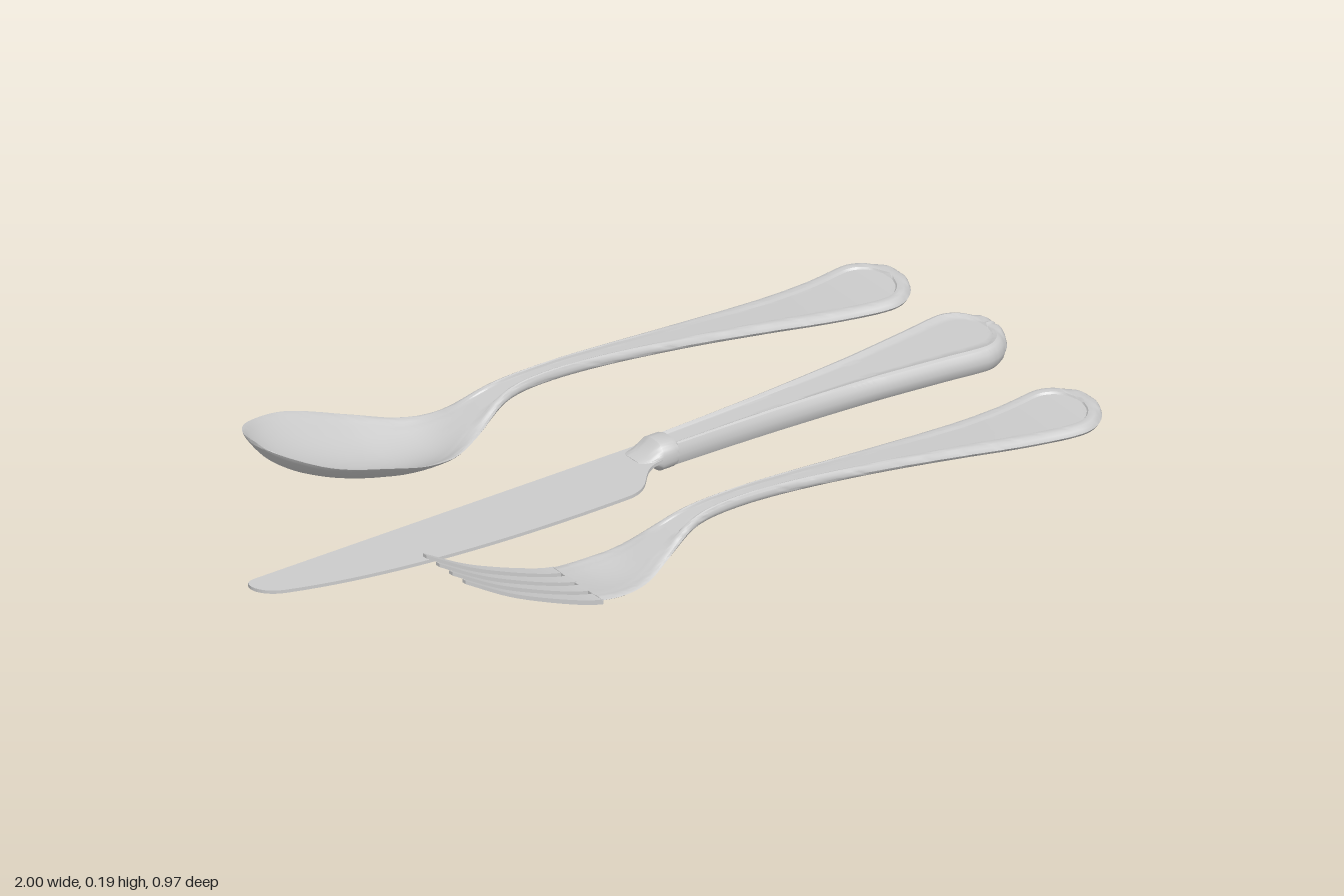
import * as THREE from 'three';
import { toCreasedNormals } from 'three/addons/utils/BufferGeometryUtils.js';

const material = new THREE.MeshStandardMaterial({ color: 0xcccccc });

// Smooth curve through [x, value] pairs
function curve(pts) {
  const slope = (i) => {
    const a = pts[Math.max(i - 1, 0)], b = pts[Math.min(i + 1, pts.length - 1)];
    return (b[1] - a[1]) / (b[0] - a[0]);
  };
  return (x) => {
    let i = 0;
    while (i < pts.length - 2 && x > pts[i + 1][0]) i++;
    const [x0, y0] = pts[i], [x1, y1] = pts[i + 1], h = x1 - x0;
    const t = Math.min(Math.max((x - x0) / h, 0), 1), t2 = t * t, t3 = t2 * t;
    return y0 * (2 * t3 - 3 * t2 + 1) + h * slope(i) * (t3 - 2 * t2 + t)
      + y1 * (3 * t2 - 2 * t3) + h * slope(i + 1) * (t3 - t2);
  };
}

// Elliptical rounding over the last r units before an end
function roundEnd(distance, r) {
  const u = Math.min(Math.max(1 - distance / r, 0), 1);
  return Math.sqrt(1 - u * u);
}

// Skin over a list of closed rings running along +x, capped at both ends
function loft(rings) {
  const n = rings[0].length, pos = [], index = [];
  rings.forEach((ring) => ring.forEach((p) => pos.push(...p)));
  for (let i = 0; i < rings.length - 1; i++) {
    for (let j = 0; j < n; j++) {
      const k = (j + 1) % n, a = i * n + j, b = i * n + k;
      index.push(a, a + n, b, b, a + n, b + n);
    }
  }
  [0, rings.length - 1].forEach((r, end) => {
    const c = pos.length / 3, o = r * n;
    pos.push(...[0, 1, 2].map((k) => rings[r].reduce((s, p) => s + p[k], 0) / n));
    for (let j = 0; j < n; j++) {
      const k = (j + 1) % n;
      index.push(c, o + (end ? k : j), o + (end ? j : k));
    }
  });
  const g = new THREE.BufferGeometry();
  g.setAttribute('position', new THREE.Float32BufferAttribute(pos, 3));
  g.setIndex(index);
  return toCreasedNormals(g, 0.6);
}

function part(parent, name, geometry) {
  const mesh = new THREE.Mesh(geometry, material);
  mesh.name = name;
  parent.add(mesh);
  return mesh;
}

// Beaded cross-section: fractions of the bead width and the height there
const BEAD = [[0.12, 0.9], [0.4, 1], [0.65, 0.9], [0.88, 0.55]];

// Body with a raised border round a sunken panel, ending in a round handle tip at x = 1
function beadedBody({ from, startRadius, width, base, rise, thick, recess, bothSides }) {
  const rings = [], N = 110;
  for (let i = 0; i <= N; i++) {
    const x = (from + 1) / 2 - (1 - from) / 2 * Math.cos(Math.PI * i / N);
    const startRound = startRadius ? Math.max(roundEnd(x - from, startRadius), 0.02) : 1;
    const w0 = width(x) * startRound;
    const w = w0 * Math.max(roundEnd(1 - x, 0.1), 0.02);
    const inner = (w0 - Math.min(0.032, 0.45 * w0)) * roundEnd(0.966 - x, 0.066);
    const half = thick(x) / 2 * Math.max(roundEnd(1 - x, 0.02), 0.1);
    const sunk = recess(x) * Math.min(1, inner / 0.006);

    // half profile from centre to edge: [z, top height, bottom height]
    const profile = [];
    const add = (z, top) => {
      const under = half * Math.sqrt(1 - Math.pow(z / w, 4));
      profile.push([z, top, bothSides ? top : under]);
    };
    for (const f of [0, 0.2, 0.4, 0.6, 0.8, 1]) add(inner * f, half - sunk);
    for (const [f, h] of BEAD) add(inner + (w - inner) * f, half * h);
    const y = (z) => base(x) + rise(x) * (z / w) ** 2;
    const top = profile.map(([z, t]) => [z, y(z) + t]);
    const bottom = profile.map(([z, , b]) => [z, y(z) - b]);
    const flip = ([z, h]) => [-z, h];
    rings.push([
      [w, y(w)], ...top.slice().reverse(), ...top.slice(1).map(flip),
      [-w, y(w)], ...bottom.slice().reverse().map(flip), ...bottom.slice(1),
    ].map(([z, h]) => [x, h, z]));
  }
  return loft(rings);
}

// Handle curves shared by spoon and fork
const handleWidth = [[-0.02, 0.025], [0.1, 0.025], [0.25, 0.032], [0.4, 0.043], [0.6, 0.063],
  [0.8, 0.09], [0.9, 0.105], [1, 0.107]];
const handleBase = [[-0.2, 0.045], [-0.1, 0.087], [0, 0.097], [0.15, 0.091], [0.4, 0.066],
  [0.6, 0.042], [0.75, 0.025], [0.87, 0.018], [1, 0.023]];
const thick = curve([[-0.76, 0.01], [-0.25, 0.012], [-0.15, 0.024], [0, 0.03], [0.4, 0.028],
  [0.8, 0.031], [1, 0.033]]);
const recess = curve([[-0.2, 0], [-0.08, 0.006], [1, 0.006]]);

function makeSpoon() {
  const spoon = new THREE.Group();
  spoon.name = 'spoon';
  part(spoon, 'spoonBody', beadedBody({
    from: -0.76, startRadius: 0.23, thick, recess,
    width: curve([[-0.76, 0.164], [-0.53, 0.164], [-0.4, 0.148], [-0.3, 0.115], [-0.2, 0.071],
      [-0.1, 0.036], ...handleWidth]),
    base: curve([[-0.76, 0.184], [-0.72, 0.135], [-0.65, 0.09], [-0.53, 0.042], [-0.42, 0.014],
      [-0.35, 0.008], [-0.28, 0.014], ...handleBase]),
    rise: curve([[-0.76, 0], [-0.72, 0.035], [-0.65, 0.056], [-0.53, 0.073], [-0.4, 0.06],
      [-0.3, 0.034], [-0.2, 0.003], [-0.12, 0], [1, 0]]),
  }));
  return spoon;
}

function makeFork() {
  const fork = new THREE.Group();
  fork.name = 'fork';
  const base = curve([[-0.76, 0.181], [-0.65, 0.117], [-0.55, 0.072], [-0.45, 0.034],
    [-0.4, 0.02], [-0.33, 0.01], [-0.27, 0.016], ...handleBase]);
  part(fork, 'forkBody', beadedBody({
    from: -0.4, thick, recess, base,
    width: curve([[-0.4, 0.092], [-0.35, 0.094], [-0.3, 0.091], [-0.25, 0.079], [-0.2, 0.062],
      [-0.1, 0.033], ...handleWidth]),
    rise: curve([[-0.4, 0.004], [-0.3, 0.008], [-0.2, 0], [1, 0]]),
  }));
  // Four tapering tines following the same sweep
  for (const k of [-1.5, -0.5, 0.5, 1.5]) {
    const rings = [];
    for (let i = 0; i <= 16; i++) {
      const f = i / 16, x = -0.76 + 0.365 * f, y = base(x);
      const z = k * (0.048 + 0.002 * f), w = 0.006 + 0.011 * Math.pow(f, 0.8), h = 0.004 + 0.002 * f;
      rings.push([[x, y - h, z + w], [x, y + h, z + w], [x, y + h, z - w], [x, y - h, z - w]]);
    }
    part(fork, 'tine', loft(rings));
  }
  return fork;
}

function makeKnife() {
  const knife = new THREE.Group();
  knife.name = 'knife';
  // Flat blade, drawn in x and z and laid down
  const s = new THREE.Shape();
  s.moveTo(0.07, -0.045);
  s.lineTo(0.07, -0.1);
  s.bezierCurveTo(-0.02, -0.1, -0.01, -0.188, -0.1, -0.188);
  s.bezierCurveTo(-0.4, -0.19, -0.72, -0.165, -0.95, -0.08);
  s.bezierCurveTo(-0.98, -0.068, -1, -0.045, -1, -0.022);
  s.bezierCurveTo(-1, -0.005, -0.99, 0, -0.97, 0);
  s.lineTo(0.07, -0.013);
  const blade = new THREE.ExtrudeGeometry(s, { depth: 0.008, bevelEnabled: false, curveSegments: 20 });
  blade.rotateX(-Math.PI / 2);
  part(knife, 'blade', toCreasedNormals(blade, 0.6)).position.set(0, 0.037, -0.03);

  // Flared bolster and collar
  const rings = [[0.01, 0.036, 0.005], [0.035, 0.04, 0.011], [0.055, 0.042, 0.026], [0.067, 0.043, 0.036],
    [0.1, 0.043, 0.036], [0.108, 0.041, 0.033], [0.112, 0.034, 0.026]].map(([x, w, h]) =>
    Array.from({ length: 32 }, (_, j) => {
      const a = j / 32 * Math.PI * 2, c = Math.cos(a), d = Math.sin(a);
      return [x, 0.041 + h * Math.sign(d) * Math.abs(d) ** 0.8, 0.028 + w * Math.sign(c) * Math.abs(c) ** 0.8];
    }));
  part(knife, 'bolster', loft(rings));

  // Thick handle panelled on both faces
  part(knife, 'knifeHandle', beadedBody({
    from: 0.108, bothSides: true,
    width: curve([[0.1, 0.037], [0.25, 0.042], [0.4, 0.05], [0.6, 0.067], [0.8, 0.091], [0.9, 0.105], [1, 0.107]]),
    base: () => 0.041, rise: () => 0, recess: () => 0.005,
    thick: curve([[0.1, 0.056], [0.5, 0.06], [1, 0.06]]),
  })).position.z = 0.03;
  return knife;
}

export function createModel() {
  const model = new THREE.Group();
  model.name = 'cutlerySet';
  const spoon = makeSpoon(), fork = makeFork();
  spoon.position.z = -0.323;
  fork.position.z = 0.378;
  model.add(spoon, makeKnife(), fork);
  return model;
}
